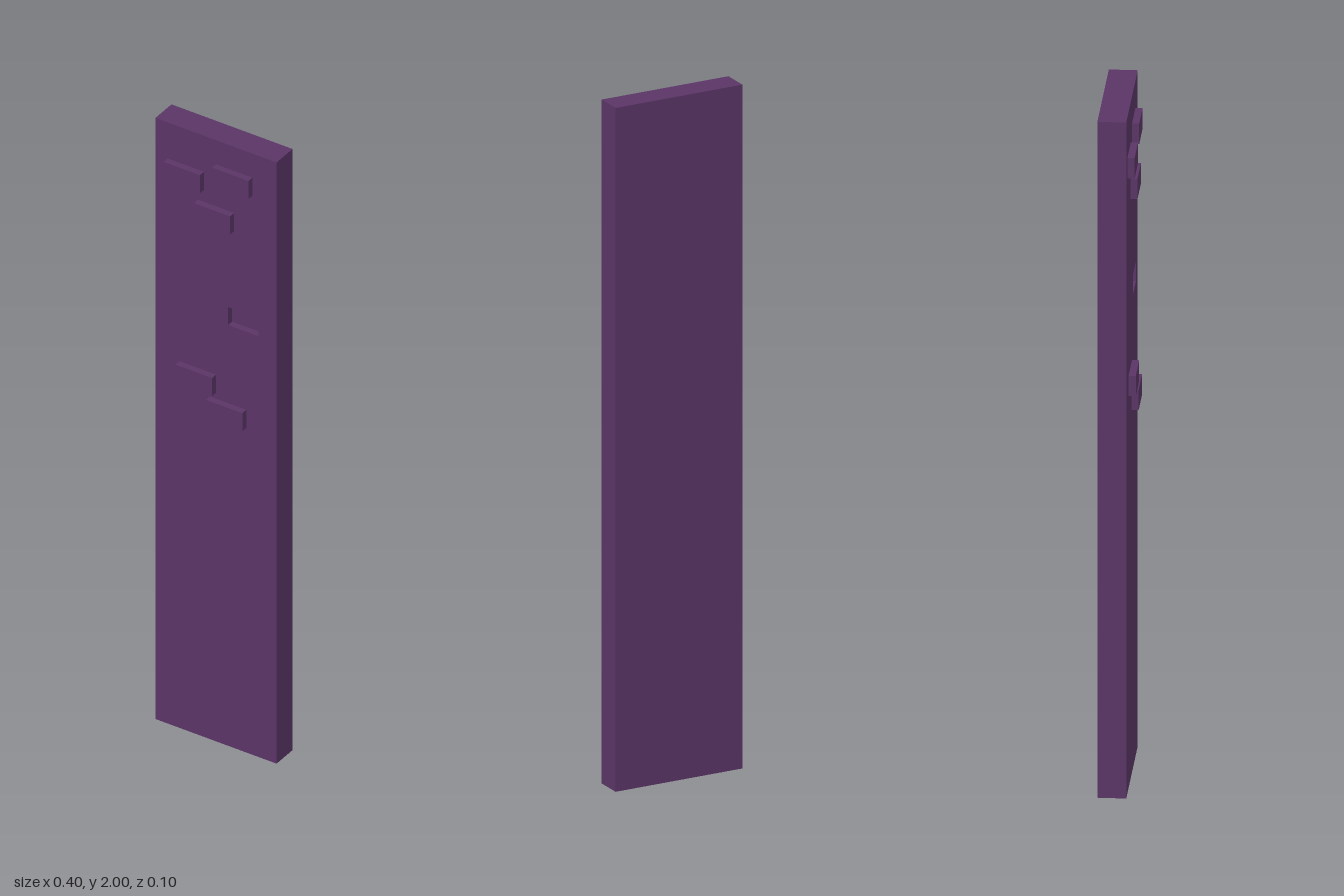
import * as THREE from 'three';

export function createModel() {
  const model = new THREE.Group();
  const purple = new THREE.MeshStandardMaterial({ color: 0x5a3566 });
  purple.name = 'dark purple';

  const add = (name, geometry, x, y, z) => {
    const mesh = new THREE.Mesh(geometry, purple);
    mesh.name = name;
    mesh.position.set(x, y, z);
    model.add(mesh);
  };

  const width = 0.4, height = 2, relief = 0.02, front = 0.03, back = -0.05;
  const brickW = 0.12, brickH = 0.06;

  // Solid body of the wall, behind the front layer
  const bodyDepth = front - relief - back;
  add('wallBody', new THREE.BoxGeometry(width, height, bodyDepth), 0, height / 2, back + bodyDepth / 2);

  // Front layer with one sunken brick cut through it
  const rect = (path, x0, y0, x1, y1) =>
    path.moveTo(x0, y0).lineTo(x1, y0).lineTo(x1, y1).lineTo(x0, y1).closePath();
  const face = new THREE.Shape();
  rect(face, -width / 2, 0, width / 2, height);
  const recess = new THREE.Path();
  rect(recess, 0.04, 1.4, 0.14, 1.46);
  face.holes.push(recess);
  add('wallFace', new THREE.ExtrudeGeometry(face, { depth: relief, bevelEnabled: false }), 0, 0, front - relief);

  // Raised bricks, by centre
  const bricks = [[-0.1, 1.85], [0.06, 1.89], [0, 1.75], [-0.06, 1.19], [0.04, 1.11]];
  const brick = new THREE.BoxGeometry(brickW, brickH, relief);
  bricks.forEach(([x, y], i) => add(`raisedBrick${i + 1}`, brick, x, y, front + relief / 2));

  return model;
}
